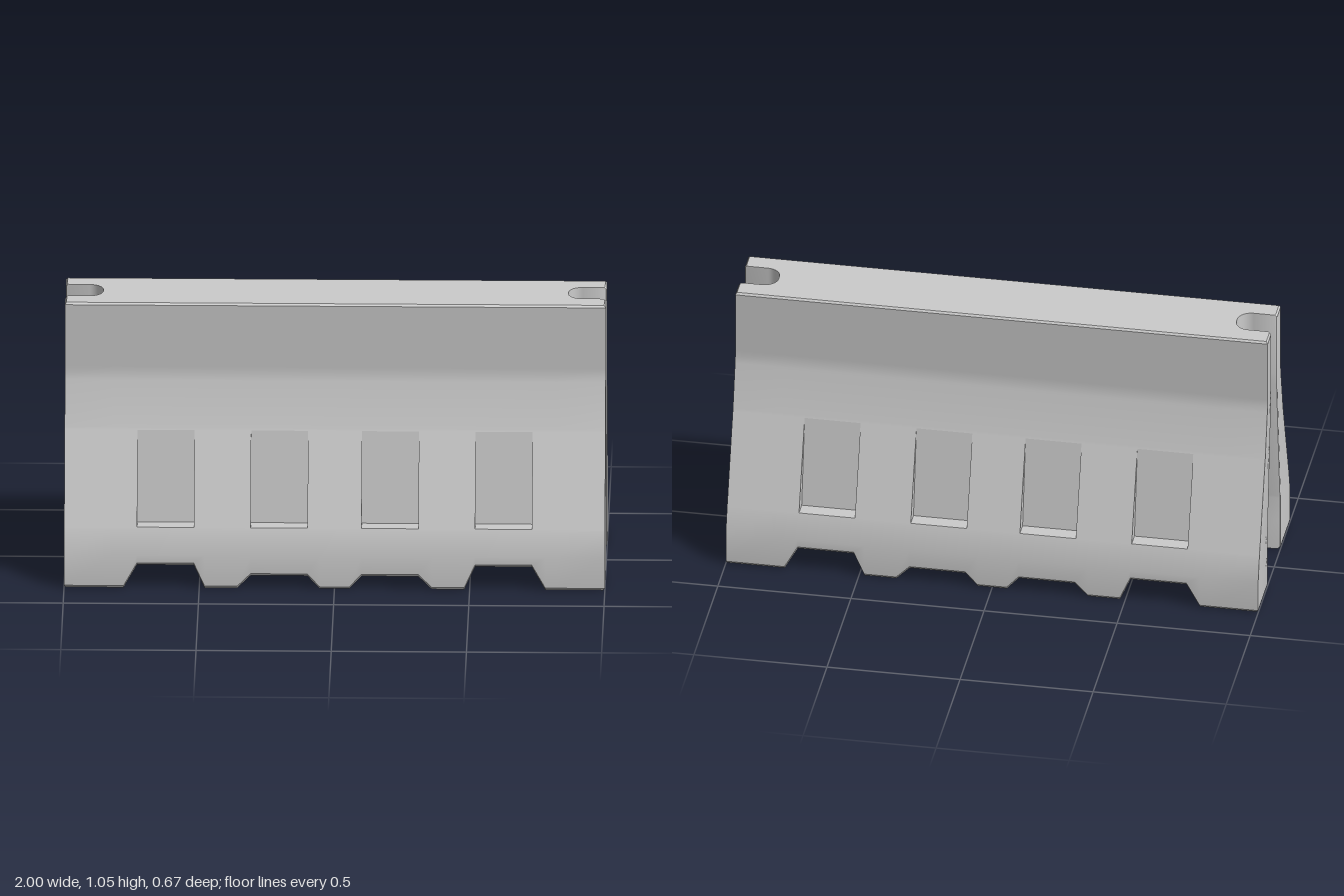
import * as THREE from 'three';
import { mergeGeometries, toCreasedNormals } from 'three/addons/utils/BufferGeometryUtils.js';

// Cross-section levels: [height, half width, slot half width, end x]
const levels = [
  [0, 0.327, 0.13, 0.993], [0.01, 0.335, 0.13, 1], [0.13, 0.335, 0.13, 1],
  [0.22, 0.31, 0.13, 1], [0.23, 0.3065, 0.129, 1], [0.57, 0.1885, 0.083, 1],
  [0.58, 0.185, 0.082, 1], [0.75, 0.142, 0.062, 1], [0.775, 0.137, 0.06, 1],
  [0.8, 0.137, 0.06, 1], [1.042, 0.137, 0.06, 1], [1.05, 0.131, 0.06, 0.994],
];
const last = levels.length - 1;
const pocketX = [[-0.73, -0.52], [-0.31, -0.1], [0.1, 0.31], [0.52, 0.73]];
const pocketBottom = 4; // level indices bounding the pockets
const pocketTop = 5;

// Underside height by |x|: drainage and forklift notches
const floorLine = [[0, 0], [0.055, 0], [0.1, 0.05], [0.31, 0.05], [0.36, 0],
  [0.48, 0], [0.52, 0.09], [0.73, 0.09], [0.78, 0], [0.82, 0], [1, 0]];
const rightX = floorLine.map((p) => p[0]);
const allX = [...rightX.slice(1).reverse().map((x) => -x), ...rightX];
const floorAt = (x) => floorLine[rightX.indexOf(Math.abs(x))][1];

const V = (x, y, z) => new THREE.Vector3(x, y, z);

function toGeometry(tris) {
  const g = new THREE.BufferGeometry();
  g.setAttribute('position', new THREE.Float32BufferAttribute(tris.flatMap((p) => [p.x, p.y, p.z]), 3));
  return g;
}

// Surface through rows of points, with optional skipped cells
function addGrid(tris, rows, skip = () => false) {
  for (let j = 0; j < rows.length - 1; j++) {
    for (let i = 0; i < rows[j].length - 1; i++) {
      if (skip(j, i)) continue;
      const a = rows[j][i], b = rows[j][i + 1], c = rows[j + 1][i + 1], d = rows[j + 1][i];
      tris.push(a, b, c, a, c, d);
    }
  }
}

// Plan outline of the right end, running front to back around the rounded slot
function endPath([, w, s, e]) {
  const r = 0.052, depth = 0.14, f = 0.008, steps = 8;
  const half = [[e, w], [e, s + f], [e - f * 0.3, s + f * 0.3], [e - f, s]];
  for (let k = 0; k <= steps; k++) {
    const a = (k / steps) * Math.PI / 2;
    half.push([1 - depth + r - r * Math.sin(a), s - r + r * Math.cos(a)]);
  }
  return [...half, ...half.slice().reverse().map(([x, z]) => [x, -z])];
}

// Flat horizontal cap from the end outline inward to x = inner
function addCap(tris, level, inner, up) {
  const outline = [...endPath(level), [inner, -level[1]], [inner, level[1]]]
    .map(([x, z]) => new THREE.Vector2(x, z));
  for (const face of THREE.ShapeUtils.triangulateShape(outline, [])) {
    const [a, b, c] = face.map((i) => V(outline[i].x, level[0], outline[i].y));
    const ny = b.clone().sub(a).cross(c.clone().sub(a)).y;
    if (ny > 0 === up) tris.push(a, b, c);
    else tris.push(a, c, b);
  }
}

// Front wall, right end and the right half of top and underside
function halfBody() {
  const tris = [];
  const wall = levels.map(([y, w, , e], j) => allX.map((x) =>
    V(Math.abs(x) === 1 ? Math.sign(x) * e : x, j < 2 ? y + floorAt(x) : y, w)));
  addGrid(tris, wall, (j, i) => j === pocketBottom &&
    pocketX.some(([x0, x1]) => allX[i] >= x0 && allX[i + 1] <= x1));
  addGrid(tris, levels.map((l) => endPath(l).map(([x, z]) => V(x, l[0], z))));
  addCap(tris, levels[last], 0, true);
  addCap(tris, levels[0], 0.82, false);
  const under = rightX.filter((x) => x <= 0.82);
  addGrid(tris, [-1, 1].map((k) => under.map((x) => V(x, floorAt(x), k * levels[0][1]))));
  return toGeometry(tris);
}

// Recess with a flat ledge, sloping back and two triangular cheeks
function pocketGeometry(x0, x1) {
  const [y0, z0] = levels[pocketBottom];
  const [y1, z1] = levels[pocketTop];
  const back = 0.25;
  const tris = [];
  addGrid(tris, [[y0, z0], [y0, back], [y1, z1]].map(([y, z]) => [V(x0, y, z), V(x1, y, z)]));
  tris.push(V(x0, y0, z0), V(x0, y1, z1), V(x0, y0, back));
  tris.push(V(x1, y0, z0), V(x1, y0, back), V(x1, y1, z1));
  const g = toGeometry(tris);
  g.computeVertexNormals();
  return g;
}

export function createModel() {
  const group = new THREE.Group();
  group.name = 'roadBarrier';
  const material = new THREE.MeshStandardMaterial({ color: 0xcccccc });
  const pocketMaterial = material.clone();
  pocketMaterial.side = THREE.DoubleSide;

  // The body repeats under a half turn
  const half = halfBody();
  const whole = mergeGeometries([half, half.clone().rotateY(Math.PI)]);
  const body = new THREE.Mesh(toCreasedNormals(whole, 0.5), material);
  body.name = 'barrierBody';
  group.add(body);

  // Pockets on both faces
  for (const [side, angle] of [['front', 0], ['back', Math.PI]]) {
    const pockets = new THREE.Group();
    pockets.name = side + 'Pockets';
    pockets.rotation.y = angle;
    for (const [x0, x1] of pocketX) {
      const pocket = new THREE.Mesh(pocketGeometry(x0, x1), pocketMaterial);
      pocket.name = 'pocket';
      pockets.add(pocket);
    }
    group.add(pockets);
  }
  return group;
}
